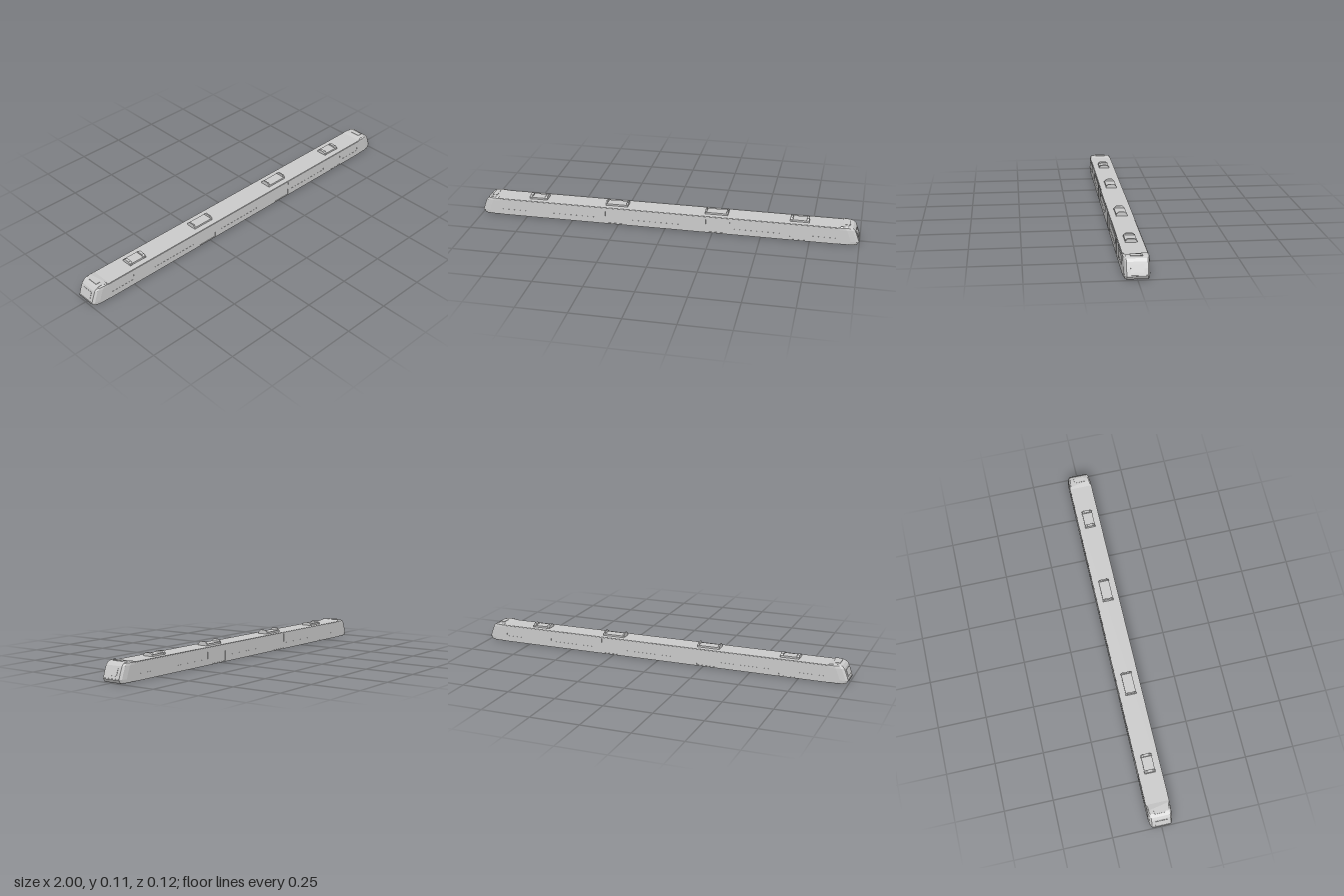
import * as THREE from 'three';

const mat = new THREE.MeshStandardMaterial({ color: 0xcccccc, flatShading: true });

function add(parent, name, geo, x = 0, y = 0, z = 0) {
  const mesh = new THREE.Mesh(geo, mat);
  mesh.name = name;
  mesh.position.set(x, y, z);
  parent.add(mesh);
  return mesh;
}

// Rectangle outline as a list of corners
const rect = (x0, x1, y0, y1) => [[x0, y0], [x1, y0], [x1, y1], [x0, y1]].map(p => new THREE.Vector2(...p));

// Side skin layer with rectangular openings
function skin(holes, depth) {
  const shape = new THREE.Shape(rect(-0.9, 0.9, 0, 0.088));
  holes.forEach(h => shape.holes.push(new THREE.Path(rect(...h))));
  return new THREE.ExtrudeGeometry(shape, { depth, bevelEnabled: false });
}

// Cab: chamfered plan outlines stacked as horizontal layers [y, length, half width]
function cabGeometry() {
  const layers = [
    [0, 0.985, 0.058], [0.004, 0.99, 0.06], [0.018, 0.998, 0.06], [0.05, 0.987, 0.06],
    [0.078, 0.976, 0.06], [0.09, 0.965, 0.059], [0.096, 0.945, 0.053],
  ];
  const pos = [], idx = [], n = 8;
  layers.forEach(([y, len, w], i) => {
    const back = i === layers.length - 1 ? 0.925 : 0.895;
    const plan = [[back, w], [len - 0.04, w], [len - 0.012, w - 0.004], [len, 0.048]];
    const mirrored = plan.map(([x, z]) => [x, -z]).reverse();
    [...plan, ...mirrored].forEach(([x, z]) => pos.push(x, y, z));
  });
  for (let i = 0; i < layers.length - 1; i++) {
    for (let j = 0; j < n; j++) {
      const a = i * n + j, b = i * n + (j + 1) % n;
      idx.push(a, b, b + n, a, b + n, a + n);
    }
  }
  const top = (layers.length - 1) * n;
  for (let j = 1; j < n - 1; j++) {
    idx.push(0, j + 1, j, top, top + j, top + j + 1);
  }
  const geo = new THREE.BufferGeometry();
  geo.setAttribute('position', new THREE.Float32BufferAttribute(pos, 3));
  geo.setIndex(idx);
  geo.computeVertexNormals();
  return geo;
}

// Roof unit: low base slab with a chamfered fin at each end
function roofUnit(name, x, width, finThickness, height) {
  const unit = new THREE.Group();
  unit.name = name;
  unit.position.set(x, 0.089, 0);
  add(unit, 'unitBase', new THREE.BoxGeometry(width, 0.01, 0.054), 0, 0.005, 0);
  const outline = [[-0.028, 0], [0.028, 0], [0.028, height * 0.4], [0.015, height], [-0.015, height], [-0.028, height * 0.4]];
  const fin = new THREE.ExtrudeGeometry(new THREE.Shape(outline.map(p => new THREE.Vector2(...p))),
    { depth: finThickness, bevelEnabled: false });
  fin.translate(0, 0, -finThickness / 2).rotateY(Math.PI / 2);
  for (const s of [-1, 1]) add(unit, 'unitFin', fin, s * (width - finThickness) / 2, 0, 0);
  return unit;
}

export function createModel() {
  const model = new THREE.Group();
  model.name = 'railcar';

  // Body core and roof
  add(model, 'bodyCore', new THREE.BoxGeometry(1.8, 0.09, 0.115), 0, 0.045, 0);

  // Sides: deep door recesses and shallow windows
  const doors = [[-0.32, -0.215, 0.005, 0.083], [0.215, 0.32, 0.005, 0.083]];
  const cabDoor = [0.65, 0.735, 0.005, 0.083];
  const windows = [
    [-0.89, -0.75], [-0.62, -0.36], [-0.18, 0.08], [0.34, 0.6], [0.75, 0.88],
  ].map(([a, b]) => [a, b, 0.032, 0.068]);
  const inner = skin(doors, 0.0017);
  const outer = skin([...doors, cabDoor, ...windows], 0.0008);
  for (const [name, turn] of [['frontSide', 0], ['backSide', Math.PI]]) {
    const side = new THREE.Group();
    side.name = name;
    side.rotation.y = turn;
    add(side, 'innerSkin', inner, 0, 0, 0.0575);
    add(side, 'outerSkin', outer, 0, 0, 0.0592);
    model.add(side);
  }

  // Cabs at both ends
  const cab = cabGeometry();
  for (const [name, turn] of [['leftCab', 0], ['rightCab', Math.PI]]) {
    const end = new THREE.Group();
    end.name = name;
    end.rotation.y = turn;
    add(end, 'cabShell', cab);
    const screen = add(end, 'windscreen', new THREE.BoxGeometry(0.003, 0.036, 0.06), 0.987, 0.05, 0);
    screen.rotation.z = 0.36;
    add(end, 'roofHatch', new THREE.BoxGeometry(0.026, 0.003, 0.056), 0.937, 0.0965, 0);
    add(end, 'buffer', new THREE.BoxGeometry(0.012, 0.006, 0.09), 0.994, 0.018, 0);
    model.add(end);
  }

  // Roof equipment
  for (const s of [-1, 1]) {
    model.add(roofUnit('largeRoofUnit', s * 0.265, 0.118, 0.007, 0.022));
    model.add(roofUnit('smallRoofUnit', s * 0.694, 0.097, 0.014, 0.018));
  }
  return model;
}
